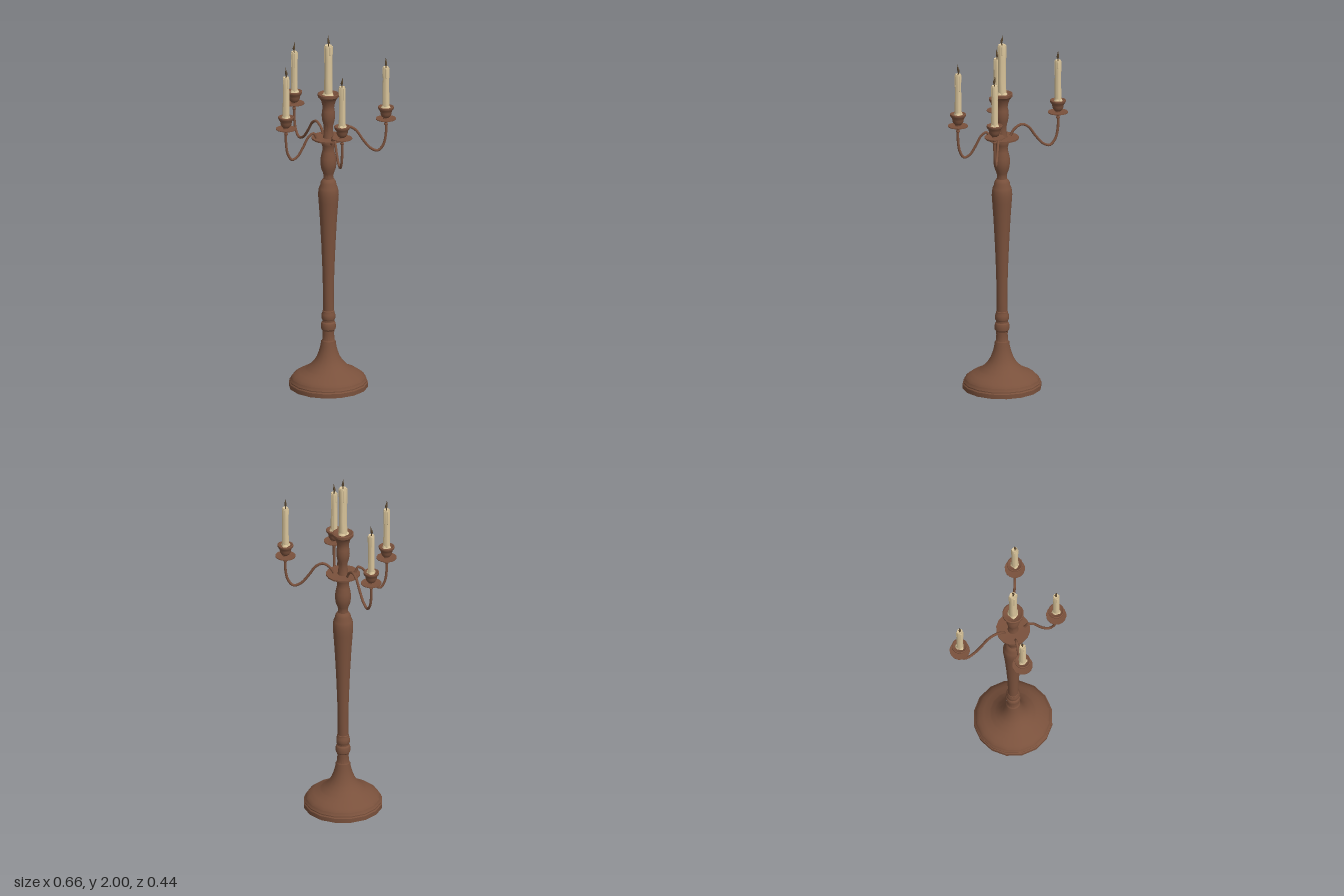
import * as THREE from 'three';
import { toCreasedNormals } from 'three/addons/utils/BufferGeometryUtils.js';

const bronze = new THREE.MeshStandardMaterial({ color: 0x7a513c });
bronze.name = 'bronze brown';
const wax = new THREE.MeshStandardMaterial({ color: 0xd9c49a });
wax.name = 'cream wax';
const char = new THREE.MeshStandardMaterial({ color: 0x5a4730 });
char.name = 'charred wick';

const CX = 0.008, CZ = -0.007; // stem axis

function mesh(name, geometry, material) {
  const m = new THREE.Mesh(geometry, material);
  m.name = name;
  return m;
}

// Turned part from [radius, height] pairs, listed bottom to top
function turned(name, profile, material, sides = 16) {
  const pts = profile.map(([r, y]) => new THREE.Vector2(r, y));
  return mesh(name, toCreasedNormals(new THREE.LatheGeometry(pts, sides), 0.6), material);
}

// Candle standing on y = 0: wavy shaft, melted foot, drips and a bent wick
function candle(height, r, seed) {
  const g = new THREE.Group();
  g.name = 'candle';

  const shaft = turned('waxShaft', [
    [r * 1.1, 0], [r * 1.04, height * 0.3], [r, height * 0.7], [r * 1.02, height * 0.94],
    [r * 0.9, height], [r * 0.6, height - 0.003], [0, height - 0.006],
  ], wax, 12);
  g.add(shaft);

  // Uneven pool of melted wax
  const pool = new THREE.CylinderGeometry(r * 1.05, r * 1.45, 0.016, 14, 1);
  const p = pool.attributes.position;
  for (let i = 0; i < p.count; i++) {
    const a = Math.atan2(p.getZ(i), p.getX(i));
    const k = 1 + 0.13 * Math.sin(3 * a + seed) + 0.08 * Math.sin(5 * a + seed * 2);
    p.setX(i, p.getX(i) * k);
    p.setZ(i, p.getZ(i) * k);
  }
  pool.translate(0, 0.006, 0);
  pool.computeVertexNormals();
  g.add(mesh('waxPool', pool, wax));

  // Drips running down the side
  for (let i = 0; i < 4; i++) {
    const a = seed + i * 1.7, len = 0.03 + 0.022 * ((i * 2 + seed) % 3);
    const drip = mesh('waxDrip', new THREE.CapsuleGeometry(r * 0.2, len, 3, 6), wax);
    drip.position.set(Math.cos(a) * r * 0.95, height - 0.008 - len / 2, Math.sin(a) * r * 0.95);
    g.add(drip);
  }

  // Wick, thick in the middle and bent at the tip
  const wick = new THREE.LatheGeometry([
    [0.003, -0.008], [0.003, 0.01], [0.0065, 0.02], [0.006, 0.03], [0.003, 0.042], [0, 0.06],
  ].map(([x, y]) => new THREE.Vector2(x, y)), 7);
  const w = wick.attributes.position;
  for (let i = 0; i < w.count; i++) {
    const b = 0.003 * Math.sin(w.getY(i) * 90);
    w.setX(i, w.getX(i) + b * Math.cos(seed));
    w.setZ(i, w.getZ(i) + b * Math.sin(seed));
  }
  wick.computeVertexNormals();
  const wickMesh = mesh('wick', wick, char);
  wickMesh.position.y = height - 0.004;
  g.add(wickMesh);
  return g;
}

// Curved arm with drip plate, cup and candle; end point (x, z), plate height
function arm(name, x, z, plateY, seed) {
  const g = new THREE.Group();
  g.name = name;
  const dx = x - CX, dz = z - CZ, len = Math.hypot(dx, dz);
  const path = [
    [0.05, -0.095], [0.07, -0.063], [0.35 * len, -0.04], [0.47 * len, -0.058],
    [0.6 * len, -0.115], [0.73 * len, -0.163], [0.86 * len, -0.178],
    [0.955 * len, -0.145], [len, -0.08], [len, 0],
  ].map(([d, y]) => new THREE.Vector3(CX + dx * d / len, plateY + y, CZ + dz * d / len));
  g.add(mesh('armTube', new THREE.TubeGeometry(new THREE.CatmullRomCurve3(path), 48, 0.0072, 8), bronze));

  const holder = new THREE.Group();
  holder.name = 'candleHolder';
  holder.position.set(x, plateY, z);
  holder.add(turned('collar', [
    [0, -0.036], [0.009, -0.034], [0.011, -0.028], [0.008, -0.022], [0.008, -0.018],
    [0.013, -0.01], [0.012, 0],
  ], bronze, 10));
  holder.add(turned('dripPlate', [
    [0, -0.005], [0.03, -0.004], [0.055, 0], [0.055, 0.004], [0.03, 0.002], [0, 0.002],
  ], bronze));
  holder.add(turned('cup', [
    [0.016, 0], [0.014, 0.008], [0.022, 0.014], [0.029, 0.026], [0.031, 0.038],
    [0.033, 0.046], [0.04, 0.056], [0.043, 0.062], [0.043, 0.07], [0.038, 0.072],
    [0.03, 0.066], [0, 0.064],
  ], bronze));
  const c = candle(0.232, 0.0172, seed);
  c.position.y = 0.064;
  holder.add(c);
  g.add(holder);
  return g;
}

export function createModel() {
  const model = new THREE.Group();
  model.name = 'candelabrum';

  const centre = new THREE.Group();
  centre.name = 'centreColumn';
  centre.position.set(CX, 0, CZ);
  model.add(centre);

  centre.add(turned('base', [
    [0, 0], [0.214, 0], [0.214, 0.024], [0.209, 0.03], [0.209, 0.036], [0.202, 0.044],
    [0.2, 0.052], [0.185, 0.066], [0.16, 0.082], [0.126, 0.097], [0.12, 0.102],
    [0.1, 0.118], [0.08, 0.14], [0.063, 0.167], [0.051, 0.2], [0.043, 0.23], [0.039, 0.26],
  ], bronze));

  centre.add(turned('lowerRings', [
    [0.039, 0.255], [0.033, 0.265], [0.031, 0.3], [0.032, 0.318], [0.039, 0.326],
    [0.041, 0.345], [0.038, 0.362], [0.033, 0.368], [0.033, 0.378], [0.037, 0.385],
    [0.037, 0.41], [0.032, 0.42], [0.032, 0.428], [0.029, 0.432],
  ], bronze));

  centre.add(turned('shaft', [
    [0.029, 0.43], [0.029, 0.52], [0.032, 0.65], [0.038, 0.8], [0.046, 0.95],
    [0.053, 1.05], [0.056, 1.09], [0.054, 1.115], [0.051, 1.13], [0.044, 1.145],
    [0.042, 1.16], [0.036, 1.172], [0.028, 1.182],
  ], bronze));

  centre.add(turned('baluster', [
    [0.028, 1.18], [0.026, 1.2], [0.03, 1.215], [0.039, 1.238], [0.044, 1.27],
    [0.042, 1.3], [0.034, 1.335], [0.031, 1.355], [0.036, 1.375], [0.04, 1.39],
    [0.037, 1.405],
  ], bronze));

  centre.add(turned('armDisc', [
    [0, 1.404], [0.05, 1.404], [0.092, 1.41], [0.092, 1.418], [0.05, 1.416], [0, 1.416],
  ], bronze));

  centre.add(turned('topHolder', [
    [0.03, 1.414], [0.027, 1.43], [0.025, 1.46], [0.026, 1.485], [0.033, 1.51],
    [0.037, 1.54], [0.034, 1.57], [0.031, 1.585], [0.034, 1.605], [0.041, 1.628],
    [0.05, 1.642], [0.058, 1.65], [0.058, 1.664], [0.052, 1.667], [0.04, 1.66], [0, 1.657],
  ], bronze));

  const topCandle = candle(0.283, 0.0215, 0.6);
  topCandle.position.y = 1.657;
  centre.add(topCandle);

  model.add(arm('backLeftArm', 0.275, -0.165, 1.514, 1));
  model.add(arm('backRightArm', -0.279, -0.165, 1.514, 2.2));
  model.add(arm('frontLeftArm', 0.177, 0.161, 1.487, 3.5));
  model.add(arm('frontRightArm', -0.162, 0.161, 1.487, 5));
  return model;
}
